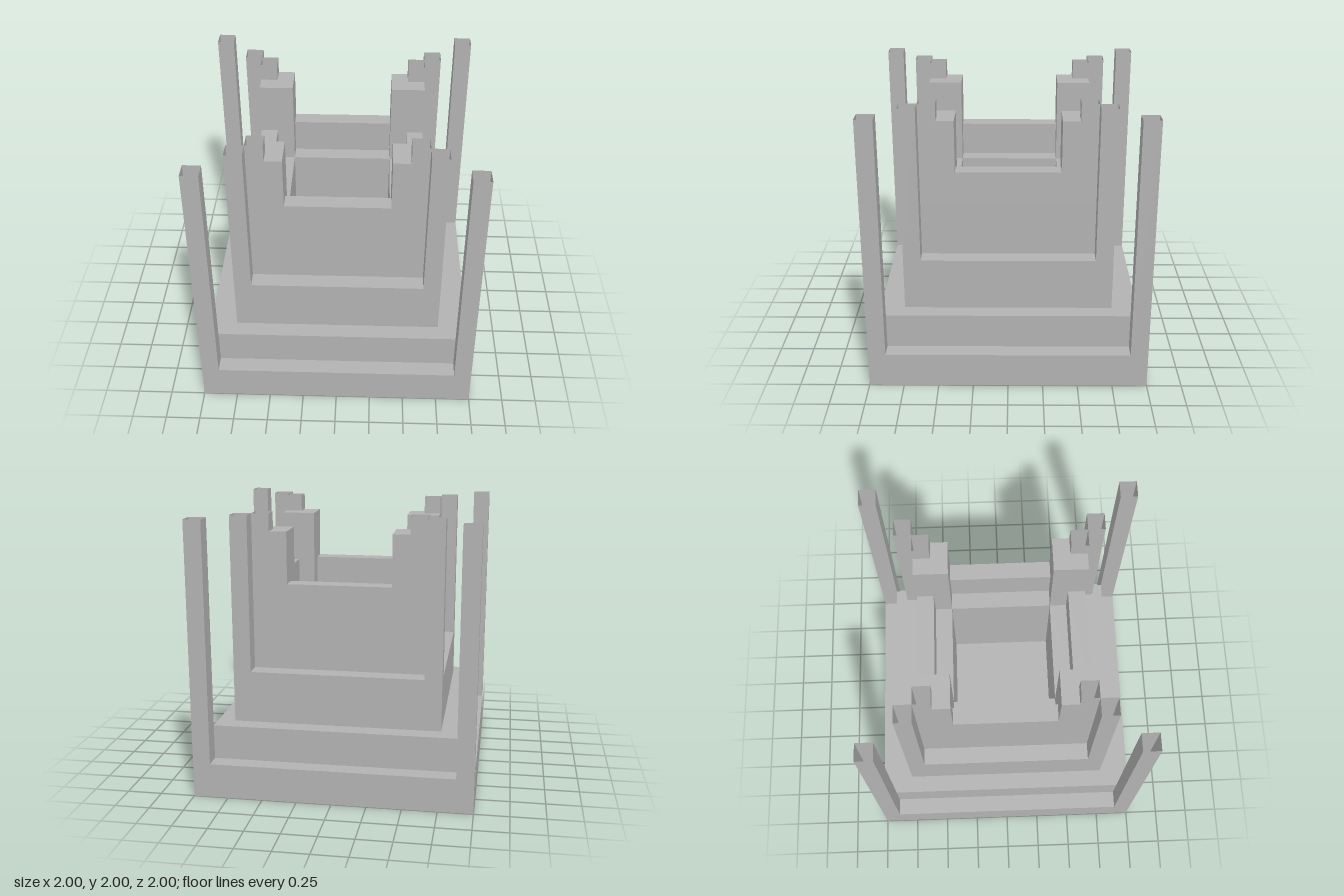
import * as THREE from 'three';

const UNIT = 0.125; // width of one post

export function createModel() {
  const model = new THREE.Group();
  const stone = new THREE.MeshStandardMaterial({ color: 0xb2b2b2, flatShading: true, side: THREE.DoubleSide });
  stone.name = 'stone grey';

  function add(parent, name, geometry, x = 0, y = 0, z = 0) {
    const mesh = new THREE.Mesh(geometry, stone);
    mesh.name = name;
    mesh.position.set(x, y, z);
    parent.add(mesh);
  }

  // plan outline raised from y0 to y1
  function raise(parent, name, shape, y0, y1) {
    const g = new THREE.ExtrudeGeometry(shape, { depth: y1 - y0, bevelEnabled: false });
    add(parent, name, g.rotateX(-Math.PI / 2), 0, y0, 0);
  }

  const outline = (points) => points.map(([x, y]) => new THREE.Vector2(x, y));
  const square = (h) => outline([[-h, -h], [h, -h], [h, h], [-h, h]]);

  // square ring: half-widths outside and inside
  function ring(outer, inner) {
    const shape = new THREE.Shape(square(outer));
    shape.holes.push(new THREE.Path(square(inner)));
    return shape;
  }

  // hollow square post, open at the top, on the diagonal
  function post(parent, name, c, y0) {
    const h = 2 - y0, r = UNIT / Math.SQRT2;
    const g = new THREE.CylinderGeometry(r, r, h, 4, 1, true).rotateY(Math.PI / 4);
    add(parent, name, g, c, y0 + h / 2, -c);
  }

  // stepped base
  add(model, 'basePlinth', new THREE.BoxGeometry(2, 0.25, 2), 0, 0.125, 0);
  add(model, 'secondStep', new THREE.BoxGeometry(1.75, 0.25, 1.75), 0, 0.375, 0);

  // body around the central pit
  raise(model, 'lowerBody', ring(0.75, 0.375), 0.5, 0.875);
  raise(model, 'upperBody', ring(0.625, 0.375), 0.875, 1.25);

  // corner pillar plan, notched for its hollow post
  const pillar = new THREE.Shape(outline([
    [0.375, 0.375], [0.625, 0.375], [0.625, 0.5], [0.5, 0.5], [0.5, 0.625], [0.375, 0.625],
  ]));

  // parapet and posts, repeated on each quarter
  for (let i = 0; i < 4; i++) {
    const quarter = new THREE.Group();
    quarter.name = `quarter${i + 1}`;
    quarter.rotation.y = i * Math.PI / 2;
    add(quarter, 'parapet', new THREE.BoxGeometry(0.75, 0.25, UNIT), 0, 1.375, 0.5625);
    raise(quarter, 'cornerPillar', pillar, 1.25, 1.875);
    post(quarter, 'innerPost', 0.5625, 1.25);
    post(quarter, 'middlePost', 0.6875, 0.875);
    post(quarter, 'outerPost', 0.9375, 0.25);
    model.add(quarter);
  }
  return model;
}
